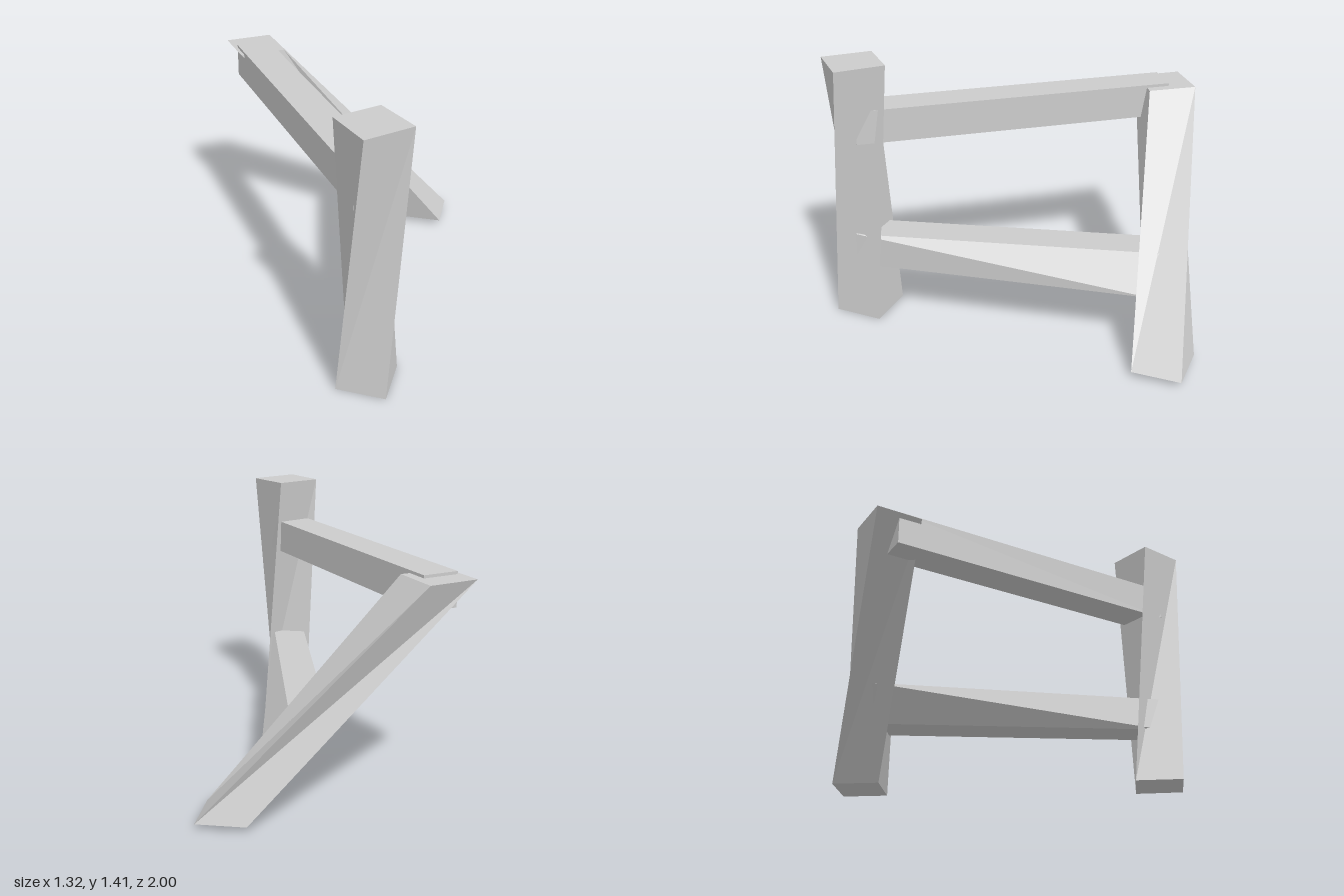
import * as THREE from 'three';

const material = new THREE.MeshStandardMaterial({ color: 0xcccccc, flatShading: true });

// Beam between two four-cornered ends (corners run clockwise seen from the far side of end b)
function beam(name, a, b) {
  const pos = [];
  const tri = (...pts) => pts.forEach((p) => pos.push(...p));
  for (let i = 0; i < 4; i++) {
    const j = (i + 1) % 4;
    tri(a[j], a[i], b[i]);
    tri(a[j], b[i], b[j]);
  }
  tri(b[0], b[3], b[2]);
  tri(b[0], b[2], b[1]);
  tri(a[0], a[1], a[2]);
  tri(a[0], a[2], a[3]);
  const geo = new THREE.BufferGeometry();
  geo.setAttribute('position', new THREE.Float32BufferAttribute(pos, 3));
  geo.computeVertexNormals();
  const mesh = new THREE.Mesh(geo, material);
  mesh.name = name;
  return mesh;
}

// Horizontal end: list of [x, z] at one height
const level = (y, pts) => pts.map(([x, z]) => [x, y, z]);

// Upright end of a rail: left and right [x, z], with the lower edge shifted in x by shear
const upright = (y0, y1, [lx, lz], [rx, rz], shear = 0) => [
  [lx, y1, lz], [lx + shear, y0, lz], [rx + shear, y0, rz], [rx, y1, rz],
];

export function createModel() {
  const group = new THREE.Group();
  group.name = 'brokenFence';

  // Twisted standing post
  group.add(beam('post',
    level(0, [[0.29, 0.93], [0.305, 0.675], [0.565, 0.695], [0.545, 0.955]]),
    level(1.415, [[0.41, 1.0], [0.24, 0.8], [0.43, 0.63], [0.61, 0.82]])));

  // Leaning post, twisted the same way
  group.add(beam('leaningPost',
    level(0.03, [[0.39, -0.74], [0.4, -1.0], [0.655, -0.985], [0.645, -0.73]]),
    level(1.165, [[-0.52, -0.43], [-0.66, -0.64], [-0.44, -0.78], [-0.3, -0.56]])));

  // Upper rail
  group.add(beam('upperRail',
    upright(1.0, 1.18, [0.355, 0.88], [0.515, 0.775]),
    upright(1.0, 1.18, [-0.57, -0.54], [-0.41, -0.64])));

  // Lower rail, its far end skewed along the leaning post
  group.add(beam('lowerRail',
    upright(0.3, 0.48, [0.34, 0.84], [0.52, 0.82]),
    upright(0.3, 0.48, [0.03, -0.74], [0.215, -0.76], 0.15)));

  return group;
}
